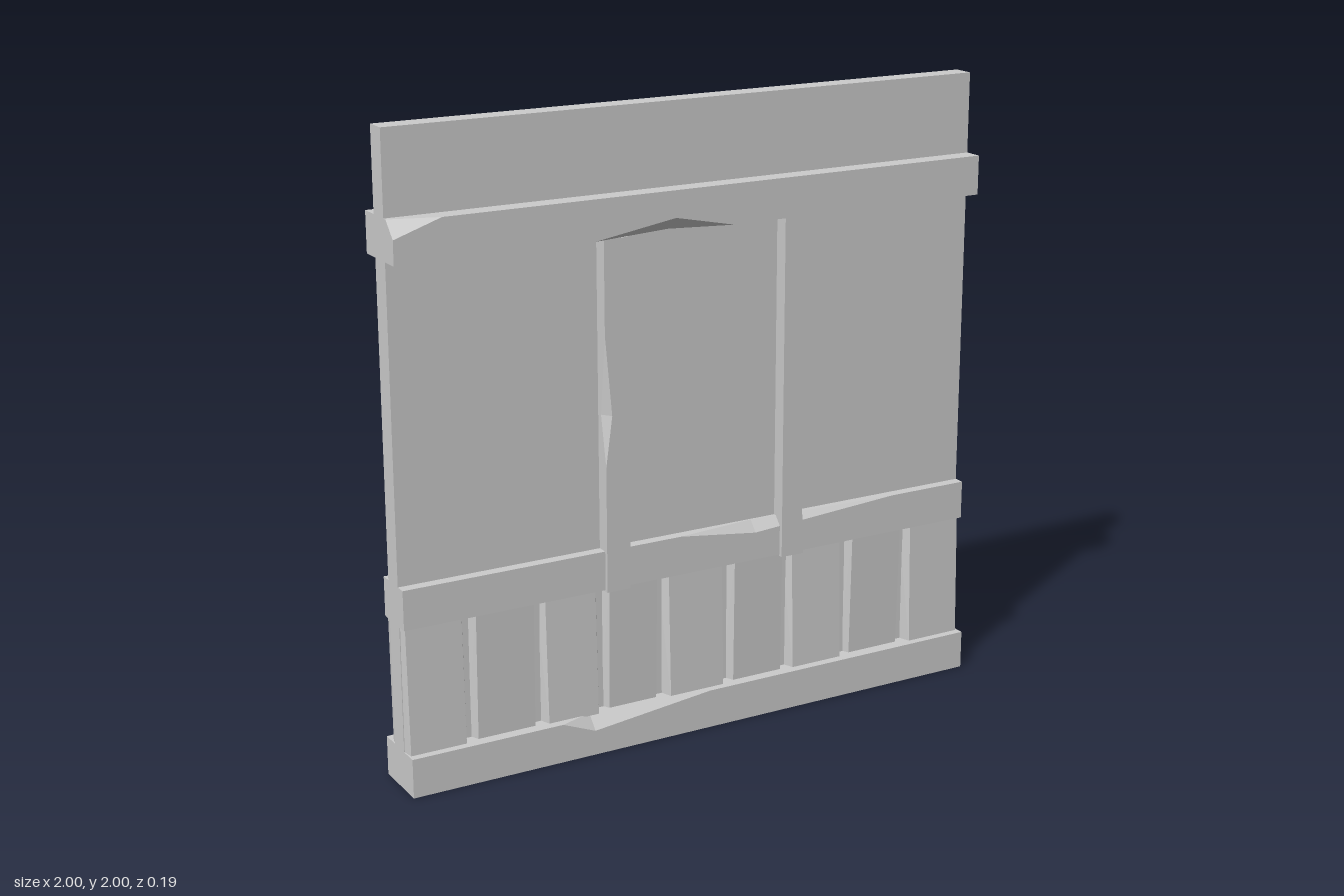
import * as THREE from 'three';
import { ConvexGeometry } from 'three/addons/geometries/ConvexGeometry.js';

const material = new THREE.MeshStandardMaterial({ color: 0xcccccc, flatShading: true });

// Bar along x with an optional chip on its top front edge:
// chip = { a, b: ends along the edge, m: deepest point, down, back: depth on the two faces }
function barGeometry(length, height, depth, chip) {
  const L = length / 2, H = height / 2, D = depth / 2, pos = [];
  const add = (...pts) => pts.forEach(p => pos.push(...p));
  const quad = (p, q, r, s) => add(p, q, r, p, r, s);
  const face = (outline, map) => {
    const pts = outline.map(p => new THREE.Vector2(...p));
    for (const tri of THREE.ShapeUtils.triangulateShape(pts, [])) add(...tri.map(i => map(...outline[i])));
  };
  // the notch is written right to left so that each outline runs anticlockwise
  const notch = (edge, cut) => chip ? [[chip.b, edge], [chip.m, edge - cut], [chip.a, edge]] : [];
  face([[-L, -H], [L, -H], [L, H], ...notch(H, chip?.down), [-L, H]], (x, y) => [x, y, D]);
  const top = [[-L, -D], [L, -D], [L, D], ...notch(D, chip?.back), [-L, D]].reverse();
  face(top.reverse(), (x, z) => [x, H, z]);
  // top outline is anticlockwise in x-z, which faces down, so swap its corners
  const start = pos.length - ((top.length - 2) * 9);
  for (let i = start; i < pos.length; i += 9)
    for (let k = 0; k < 3; k++) [pos[i + 3 + k], pos[i + 6 + k]] = [pos[i + 6 + k], pos[i + 3 + k]];
  quad([L, -H, -D], [-L, -H, -D], [-L, H, -D], [L, H, -D]);
  quad([-L, -H, -D], [L, -H, -D], [L, -H, D], [-L, -H, D]);
  quad([L, -H, D], [L, -H, -D], [L, H, -D], [L, H, D]);
  quad([-L, -H, -D], [-L, -H, D], [-L, H, D], [-L, H, -D]);
  if (chip) {
    const a = [chip.a, H, D], b = [chip.b, H, D];
    const c = [chip.m, H - chip.down, D], d = [chip.m, H, D - chip.back];
    add(a, c, d, c, b, d);
  }
  const g = new THREE.BufferGeometry();
  g.setAttribute('position', new THREE.Float32BufferAttribute(pos, 3));
  g.computeVertexNormals();
  return g;
}

function addMesh(parent, name, geometry) {
  const mesh = new THREE.Mesh(geometry, material);
  mesh.name = name;
  parent.add(mesh);
  return mesh;
}

// Horizontal rail from y0 to y1, standing out to z; flip puts the chip on the lower edge
function addRail(parent, name, y0, y1, z, chip, flip = false) {
  const rail = addMesh(parent, name, barGeometry(2, y1 - y0, z - 0.02, chip));
  rail.position.set(0, (y0 + y1) / 2, (z + 0.02) / 2);
  if (flip) rail.scale.y = -1;
}

// Upright post; side is the x direction of the chipped edge
function addPost(parent, x, chip, side = -1) {
  const mid = 1.07;
  const local = chip && { ...chip, a: chip.a - mid, b: chip.b - mid, m: chip.m - mid };
  const post = addMesh(parent, 'post', barGeometry(1.1, 0.08, 0.063, local));
  post.position.set(x, mid, 0.0515);
  post.rotation.z = Math.PI / 2;
  if (side > 0) post.scale.y = -1;
}

// Row of slightly tilted planks with tapered sides
function addPlanks(parent, tilts) {
  const gaps = [-1, -0.79, -0.555, -0.34, -0.13, 0.105, 0.325, 0.55, 0.78, 1];
  for (let i = 0; i < gaps.length - 1; i++) {
    const x0 = gaps[i] + (i ? 0.004 : 0), x1 = gaps[i + 1] - (i < 8 ? 0.004 : 0);
    const [low, high] = tilts[i % tilts.length];
    const pts = [];
    for (const [y, z] of [[0.12, low], [0.53, high]]) {
      const inset0 = i ? 0.018 : 0.007, inset1 = i < 8 ? 0.018 : 0.009;
      pts.push(new THREE.Vector3(x0, y, 0.02), new THREE.Vector3(x1, y, 0.02),
        new THREE.Vector3(x0 + inset0, y, z), new THREE.Vector3(x1 - inset1, y, z));
    }
    addMesh(parent, 'plank', new ConvexGeometry(pts));
  }
}

export function createModel() {
  const model = new THREE.Group();
  model.name = 'wallPanel';

  // Core slab
  const slab = addMesh(model, 'slab', new THREE.BoxGeometry(2, 2, 0.07));
  slab.position.y = 1;

  // Front face
  const front = new THREE.Group();
  front.name = 'frontTrim';
  model.add(front);
  addRail(front, 'baseRail', 0, 0.125, 0.097, { a: -0.5, b: 0.02, m: -0.39, down: 0.045, back: 0.04 });
  addRail(front, 'middleRail', 0.525, 0.65, 0.07, { a: -0.07, b: 0.72, m: 0.2, down: 0.035, back: 0.03 });
  addRail(front, 'topRailLower', 1.62, 1.68, 0.097, { a: -0.37, b: 0.1, m: -0.1, down: 0.042, back: 0.05 }, true);

  // Upper half of the top rail, with its corner broken off
  const corners = [];
  for (const x of [-1, 1]) for (const y of [1.68, 1.745]) for (const z of [0.02, 0.097])
    if (!(x < 0 && y > 1.7 && z > 0.05)) corners.push(new THREE.Vector3(x, y, z));
  corners.push(new THREE.Vector3(-1, 1.745, 0.05), new THREE.Vector3(-0.85, 1.745, 0.097), new THREE.Vector3(-1, 1.695, 0.097));
  addMesh(front, 'topRailUpper', new ConvexGeometry(corners));

  addPost(front, -0.295, { a: 0.92, b: 1.33, m: 1.08, down: 0.022, back: 0.03 });
  addPost(front, 0.33, { a: 0.6, b: 1.1, m: 0.8, down: 0.018, back: 0.035 }, 1);
  addPlanks(front, [[0.072, 0.06], [0.06, 0.066], [0.068, 0.054], [0.055, 0.064]]);

  // Back face, built facing forward and mirrored in z
  const back = new THREE.Group();
  back.name = 'backTrim';
  back.scale.z = -1;
  model.add(back);
  addRail(back, 'baseRail', 0, 0.125, 0.097, { a: -0.06, b: 0.46, m: 0.38, down: 0.045, back: 0.04 });
  addRail(back, 'middleRail', 0.525, 0.65, 0.07, { a: -0.65, b: -0.08, m: -0.3, down: 0.03, back: 0.03 });
  addRail(back, 'topRail', 1.62, 1.745, 0.097, { a: -0.07, b: 0.5, m: 0.28, down: 0.042, back: 0.05 }, true);
  addPost(back, -0.295, { a: 0.9, b: 1.4, m: 1.16, down: 0.022, back: 0.03 }, 1);
  addPost(back, 0.33);
  addPlanks(back, [[0.06, 0.066], [0.07, 0.058], [0.055, 0.064], [0.072, 0.06]]);

  return model;
}
